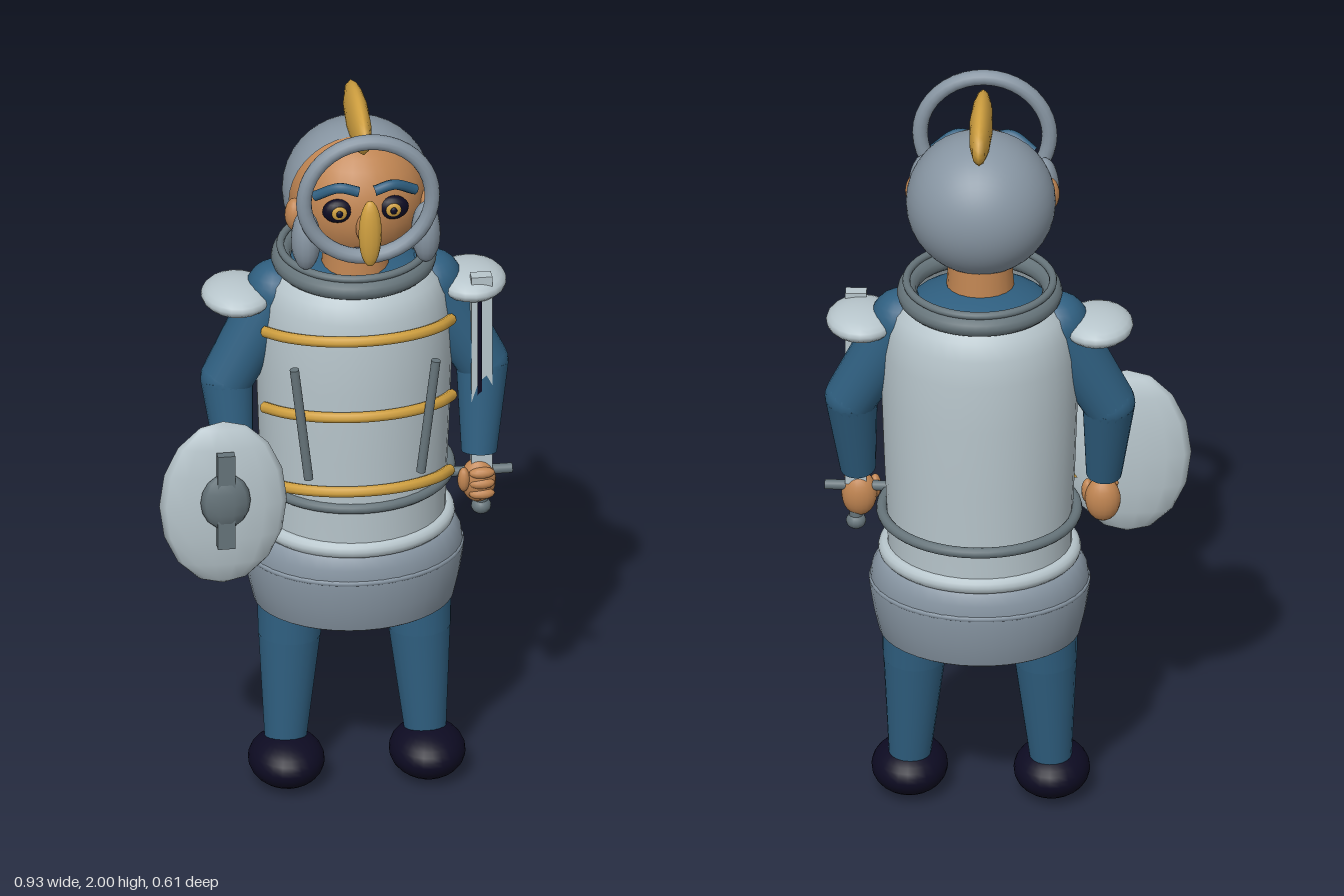
import * as THREE from 'three';

const mat = (name, color) => Object.assign(new THREE.MeshStandardMaterial({ color }), { name });

export function createModel() {
  const blue = mat('blue cloth', 0x2f5f80);
  const skin = mat('skin', 0xc08552);
  const gold = mat('gold', 0xd0a040);
  const black = mat('near black', 0x0d0b22);
  const light = mat('light steel', 0xb8c6cc);
  const steel = mat('steel', 0x8795a2);
  const dark = mat('dark steel', 0x66747a);
  light.side = steel.side = THREE.DoubleSide;

  const model = new THREE.Group();
  model.name = 'knight';
  const CX = 0.06, CZ = -0.03; // body axis

  const add = (name, geo, material, x = 0, y = 0, z = 0, parent = model) => {
    const m = new THREE.Mesh(geo, material);
    m.name = name;
    m.position.set(x, y, z);
    parent.add(m);
    return m;
  };
  const ball = (name, material, p, r, ws = 28, hs = 18) =>
    add(name, new THREE.SphereGeometry(1, ws, hs).scale(...r), material, ...p);
  // tapered round limb between two points
  const limb = (name, material, a, b, ra, rb) => {
    const A = new THREE.Vector3(...a), B = new THREE.Vector3(...b);
    const m = add(name, new THREE.CylinderGeometry(rb, ra, A.distanceTo(B), 20), material);
    m.position.copy(A).lerp(B, 0.5);
    m.quaternion.setFromUnitVectors(new THREE.Vector3(0, 1, 0), B.clone().sub(A).normalize());
    return m;
  };
  // horizontal elliptical hoop around the body
  const hoop = (name, material, y, rx, rz, tube, cz = CZ) =>
    add(name, new THREE.TorusGeometry(1, tube / rx, 12, 48).rotateX(Math.PI / 2).scale(rx, rx, rz), material, CX, y, cz);
  // lathed shell, flattened slightly front to back
  const shell = (name, material, profile, flat) =>
    add(name, new THREE.LatheGeometry(profile.map(p => new THREE.Vector2(...p)), 40).scale(1, 1, flat), material, CX, 0, CZ);
  const curveTube = (name, material, points, r) =>
    add(name, new THREE.TubeGeometry(new THREE.CatmullRomCurve3(points.map(p => new THREE.Vector3(...p))), 24, r, 8), material);

  // head and face
  ball('head', skin, [CX, 1.72, 0.036], [0.178, 0.186, 0.178]);
  add('neck', new THREE.CylinderGeometry(0.08, 0.09, 0.14, 20), skin, CX, 1.52, 0);
  ball('noseGuard', gold, [CX, 1.72, 0.278], [0.03, 0.095, 0.023], 12, 12);
  ball('nose', skin, [CX, 1.7, 0.215], [0.028, 0.045, 0.04], 16, 12);
  curveTube('mouth', black, [[0.005, 1.615, 0.173], [0.035, 1.625, 0.185], [CX, 1.622, 0.189], [0.085, 1.625, 0.185], [0.115, 1.615, 0.173]], 0.012);
  for (const s of [-1, 1]) {
    const ex = CX + s * 0.07;
    ball('eye', black, [ex, 1.745, 0.192], [0.042, 0.033, 0.022], 18, 12);
    ball('iris', gold, [ex, 1.747, 0.211], [0.02, 0.019, 0.006], 16, 10);
    ball('pupil', black, [ex, 1.747, 0.216], [0.009, 0.01, 0.005], 12, 8);
    curveTube('eyebrow', blue, [[CX + s * 0.02, 1.807, 0.212], [CX + s * 0.07, 1.818, 0.205], [CX + s * 0.13, 1.785, 0.178]], 0.014);
    ball('ear', skin, [CX + s * 0.172, 1.7, 0.113], [0.026, 0.045, 0.03], 16, 12);
    ball('cheekGuard', steel, [CX + s * 0.155, 1.67, 0.197], [0.038, 0.085, 0.047], 16, 12);
  }

  // helmet, open at the face, with crest and round visor
  const cap = new THREE.SphereGeometry(1, 36, 20, 0, Math.PI * 2, 0, Math.PI / 2 + 0.3);
  add('helmet', cap.rotateX(-Math.PI / 2).scale(0.192, 0.19, 0.186), steel, CX, 1.72, 0.03);
  ball('crest', gold, [CX, 1.93, 0.04], [0.03, 0.07, 0.158], 12, 14);
  add('visorRing', new THREE.TorusGeometry(0.166, 0.02, 12, 40), steel, CX, 1.8, 0.24);

  // torso armour
  shell('cuirass', light, [[0.235, 0.7], [0.238, 0.85], [0.245, 1.0], [0.252, 1.2], [0.25, 1.33], [0.24, 1.4], [0.222, 1.445], [0.195, 1.47]], 0.915);
  ball('undershirt', blue, [CX, 1.42, CZ], [0.2, 0.085, 0.19]);
  hoop('collar', dark, 1.49, 0.186, 0.186, 0.026);
  hoop('collarRim', dark, 1.522, 0.188, 0.188, 0.01);
  hoop('belt', dark, 0.868, 0.25, 0.24, 0.014, -0.052);
  hoop('waistBand', light, 0.745, 0.238, 0.212, 0.022);
  shell('skirt', steel, [[0, 0.505], [0.25, 0.505], [0.258, 0.51], [0.272, 0.57], [0.283, 0.64], [0.276, 0.69], [0.258, 0.725], [0.23, 0.735]], 0.83);
  hoop('skirtBand', steel, 0.655, 0.276, 0.229, 0.008);

  // gold bands wrapping the chest
  for (const [y, r] of [[1.365, 0.25], [1.145, 0.252], [0.925, 0.246]]) {
    const pts = [];
    for (let i = -4; i <= 4; i++) {
      const a = i * 0.3;
      pts.push([CX + Math.sin(a) * (r + 0.008), y - 0.035 * (i / 4) ** 2, CZ + Math.cos(a) * (r * 0.915 + 0.006)]);
    }
    curveTube('chestBand', gold, pts, 0.015);
  }

  for (const s of [-1, 1]) {
    const X = d => CX + s * d;
    limb('chestBar', dark, [X(0.145), 0.96, 0.178], [X(0.183), 1.285, 0.185], 0.012, 0.012);

    // arms
    const shoulder = [X(0.2), 1.405, -0.03], elbow = [X(0.33), 1.165, -0.015], wrist = [X(0.315), 0.93, 0.035];
    ball('shoulder', blue, shoulder, [0.08, 0.08, 0.08], 20, 14);
    limb('upperArm', blue, shoulder, elbow, 0.078, 0.068);
    ball('elbow', blue, elbow, [0.068, 0.068, 0.068], 20, 14);
    limb('forearm', blue, elbow, wrist, 0.068, 0.046);
    ball('shoulderPad', light, [X(0.302), 1.4, -0.028], [0.092, 0.04, 0.108], 20, 12);

    // hands
    ball('hand', skin, [X(0.312), 0.85, 0.042], [0.046, 0.062, 0.036], 18, 12);
    ball('thumb', skin, [X(0.272), 0.862, 0.06], [0.016, 0.034, 0.018], 12, 10);
    for (let i = 0; i < 3; i++)
      ball('finger', skin, [X(0.318), 0.882 - i * 0.03, 0.068], [0.034, 0.015, 0.016], 12, 8);

    // legs and shoes
    limb('shank', blue, [X(0.182), 0.08, 0.005], [X(0.168), 0.41, -0.014], 0.051, 0.08);
    limb('thigh', blue, [X(0.168), 0.41, -0.014], [X(0.163), 0.56, -0.022], 0.081, 0.088);
    ball('shoe', black, [X(0.182), 0.068, 0.028], [0.098, 0.068, 0.117], 24, 16);
  }

  // sword held upright in the left hand
  const SX = 0.38, SZ = 0.038;
  add('blade', new THREE.BoxGeometry(0.054, 0.56, 0.032), light, SX, 1.165, SZ);
  add('fuller', new THREE.BoxGeometry(0.012, 0.4, 0.006), black, SX - 0.006, 1.2, SZ + 0.017);
  limb('crossguard', dark, [0.28, 0.875, SZ], [0.46, 0.875, SZ], 0.013, 0.013);
  limb('grip', dark, [SX, 0.77, SZ], [SX, 0.89, SZ], 0.017, 0.017);
  ball('pommel', dark, [SX, 0.772, SZ], [0.026, 0.022, 0.026], 14, 10);

  // faceted oval shield on the right arm
  ball('shield', light, [-0.307, 0.913, 0.185], [0.165, 0.235, 0.045], 14, 8);
  ball('shieldBoss', dark, [-0.307, 0.94, 0.232], [0.065, 0.08, 0.028], 10, 8);
  add('shieldRib', new THREE.BoxGeometry(0.045, 0.27, 0.024), dark, -0.307, 0.945, 0.239);

  return model;
}
